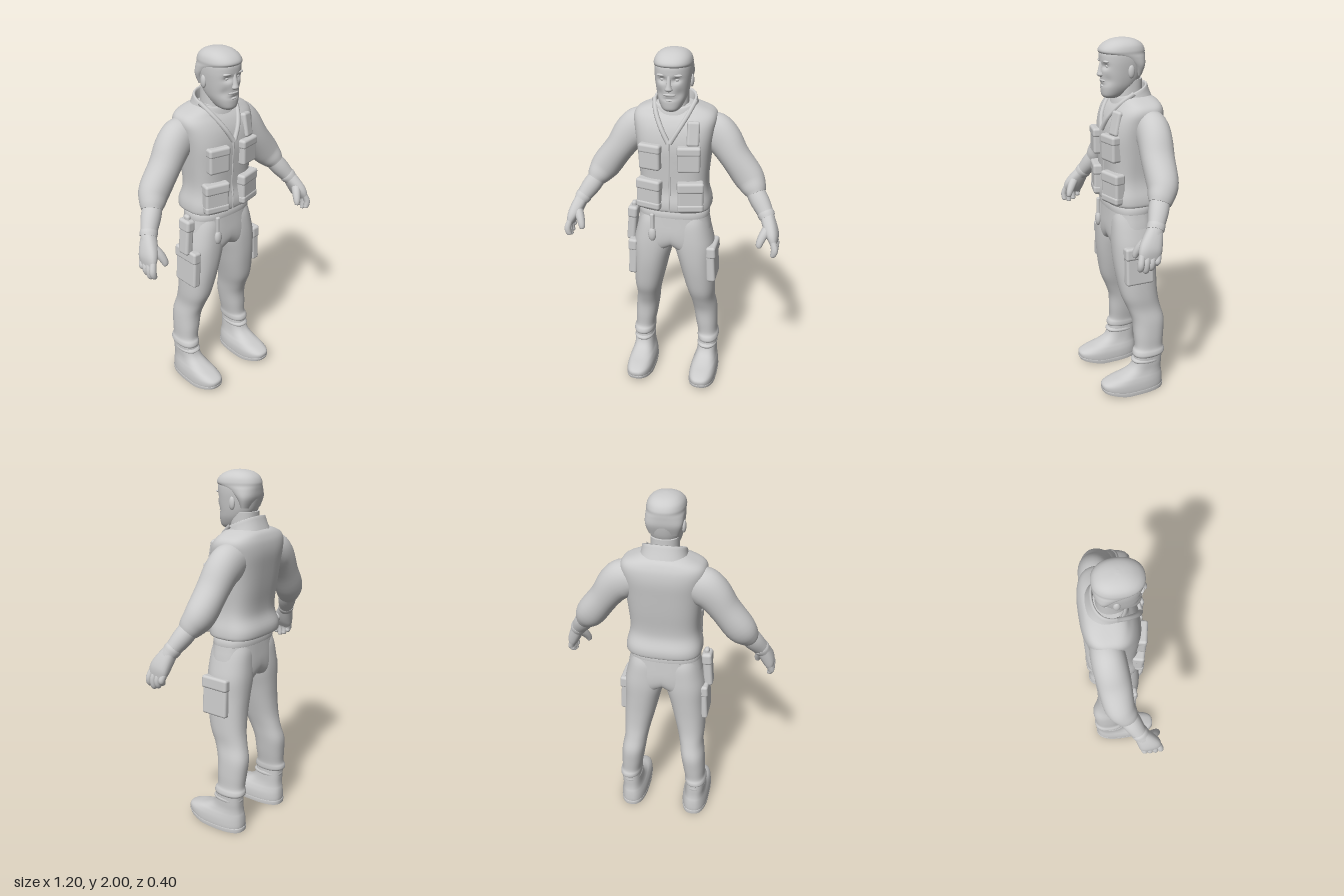
import * as THREE from 'three';
import { RoundedBoxGeometry } from 'three/addons/geometries/RoundedBoxGeometry.js';

const grey = new THREE.MeshStandardMaterial({ color: 0xcccccc });
grey.name = 'plain grey';

// Smooth interpolation through rows of numbers
function refine(rows, sub) {
  const out = [];
  for (let i = 0; i < rows.length - 1; i++) {
    const [a, b, c, d] = [rows[Math.max(i - 1, 0)], rows[i], rows[i + 1], rows[Math.min(i + 2, rows.length - 1)]];
    for (let s = 0; s < sub; s++) {
      const t = s / sub;
      out.push(b.map((p, k) => 0.5 * (2 * p + (c[k] - a[k]) * t + (2 * a[k] - 5 * p + 4 * c[k] - d[k]) * t * t
        + (3 * p - a[k] - 3 * c[k] + d[k]) * t * t * t)));
    }
  }
  out.push(rows[rows.length - 1]);
  return out;
}

// Skin over closed rings of points, with optional flat end caps
function skin(rings, caps = true) {
  const n = rings[0].length, pos = [], idx = [];
  rings.forEach(r => r.forEach(p => pos.push(p.x, p.y, p.z)));
  for (let i = 0; i < rings.length - 1; i++) for (let j = 0; j < n; j++) {
    const a = i * n + j, b = i * n + (j + 1) % n, c = a + n, d = b + n;
    idx.push(a, c, b, b, c, d);
  }
  if (caps) [rings[0], rings[rings.length - 1]].forEach((r, end) => {
    const base = pos.length / 3;
    const mid = r.reduce((m, p) => m.add(p), new THREE.Vector3()).divideScalar(n);
    [mid, ...r].forEach(p => pos.push(p.x, p.y, p.z));
    for (let j = 0; j < n; j++) {
      const a = base + 1 + j, b = base + 1 + (j + 1) % n;
      end ? idx.push(base, b, a) : idx.push(base, a, b);
    }
  });
  const g = new THREE.BufferGeometry();
  g.setAttribute('position', new THREE.Float32BufferAttribute(pos, 3));
  g.setIndex(idx);
  g.computeVertexNormals();
  return g;
}

const spow = (v, e) => Math.sign(v) * Math.pow(Math.abs(v), 2 / e);
function ring(c, U, V, ru, rv, e, n) {
  return Array.from({ length: n }, (_, j) => {
    const t = j / n * Math.PI * 2;
    return c.clone().addScaledVector(U, ru * spow(Math.cos(t), e)).addScaledVector(V, rv * spow(Math.sin(t), e));
  });
}

// Upright form: rows are [y, centreX, halfWidth, frontZ, backZ]; rule moves each point
function column(rows, { e = 2.3, n = 40, sub = 4, caps = true, rule } = {}) {
  const X = new THREE.Vector3(1, 0, 0), Z = new THREE.Vector3(0, 0, 1);
  const rings = refine(rows, sub).map(([y, x, w, f, b]) =>
    ring(new THREE.Vector3(x, y, (f + b) / 2), X, Z, w, (f - b) / 2, e, n));
  if (rule) rings.forEach(r => r.forEach(rule));
  return skin(rings, caps);
}

// Limb along a path: rows are [x, y, z, thickness, depth]
function limb(rows, { e = 2.1, n = 24, sub = 4 } = {}) {
  const r = refine(rows, sub), at = i => new THREE.Vector3(...r[Math.min(Math.max(i, 0), r.length - 1)].slice(0, 3));
  return skin(r.map((row, i) => {
    const T = at(i + 1).sub(at(i - 1)).normalize();
    const U = T.clone().cross(new THREE.Vector3(0, 0, 1)).normalize();
    return ring(at(i), U, U.clone().cross(T), row[3], row[4], e, n);
  }));
}

function mirrored(g) {
  const m = g.clone().scale(-1, 1, 1), ix = m.index.array;
  for (let i = 0; i < ix.length; i += 3) [ix[i], ix[i + 1]] = [ix[i + 1], ix[i]];
  return m;
}

export function createModel() {
  const model = new THREE.Group();
  const add = (name, g) => {
    const m = new THREE.Mesh(g, grey);
    m.name = name;
    model.add(m);
    return m;
  };
  const pair = (name, g) => { add(name + 'Left', g); add(name + 'Right', mirrored(g)); };
  const box = (name, w, h, d, x, y, z, ry = 0, rx = 0, rz = 0, r = 0.014) => {
    const m = add(name, new RoundedBoxGeometry(w, h, d, 3, r));
    m.position.set(x, y, z);
    m.rotation.set(rx, ry, rz);
  };
  const ball = (x, y, z, a, b, c) => new THREE.SphereGeometry(1, 20, 14).scale(a, b, c).translate(x, y, z);
  const cord = (pts, r) => new THREE.TubeGeometry(
    new THREE.CatmullRomCurve3(pts.map(p => new THREE.Vector3(...p))), 32, r, 8);

  // Head with eye hollows, and close-cut hair
  add('head', column([[1.695, 0, 0.03, 0.09, 0.02], [1.71, 0, 0.05, 0.105, -0.02], [1.75, 0, 0.071, 0.11, -0.07],
    [1.79, 0, 0.082, 0.111, -0.1], [1.84, 0, 0.09, 0.113, -0.116], [1.89, 0, 0.095, 0.114, -0.123],
    [1.93, 0, 0.093, 0.11, -0.12], [1.96, 0, 0.08, 0.08, -0.1]], {
    n: 64, sub: 6, rule: p => {
      if (p.z < 0.03) return;
      const dip = (x, y, sx, sy) => Math.exp(-(((Math.abs(p.x) - x) / sx) ** 2) - ((p.y - y) / sy) ** 2);
      p.z -= 0.016 * dip(0.036, 1.862, 0.022, 0.014) + 0.008 * dip(0.05, 1.79, 0.02, 0.025) + 0.006 * dip(0, 1.765, 0.03, 0.008);
    }
  }));
  add('hair', column([[1.81, 0, 0.075, -0.05, -0.1], [1.86, 0, 0.093, -0.025, -0.1205], [1.9, 0, 0.0965, 0.04, -0.125],
    [1.922, 0, 0.097, 0.108, -0.126], [1.94, 0, 0.097, 0.12, -0.125], [1.965, 0, 0.088, 0.102, -0.112],
    [1.985, 0, 0.067, 0.07, -0.085], [1.996, 0, 0.038, 0.035, -0.048], [2, 0, 0.008, 0.002, -0.01]]));
  add('nose', column([[1.805, 0, 0.01, 0.118, 0.09], [1.815, 0, 0.02, 0.132, 0.09], [1.835, 0, 0.014, 0.128, 0.09],
    [1.885, 0, 0.009, 0.115, 0.09]], { n: 16 }));
  add('moustache', ball(0, 1.787, 0.101, 0.034, 0.009, 0.014));
  add('lowerLip', ball(0, 1.758, 0.1, 0.022, 0.007, 0.012));
  pair('brow', ball(0.036, 1.886, 0.097, 0.03, 0.008, 0.015));
  pair('eye', ball(0.036, 1.862, 0.086, 0.014, 0.009, 0.012));
  pair('ear', ball(0.091, 1.835, -0.022, 0.012, 0.034, 0.018));
  add('neck', column([[1.6, 0, 0.08, 0.05, -0.12], [1.68, 0, 0.074, 0.037, -0.113], [1.79, 0, 0.072, 0.03, -0.113]]));

  // Vest body, standing collar and zip
  add('vest', column([[1.128, 0, 0.193, 0.09, -0.172], [1.138, 0, 0.206, 0.106, -0.186], [1.18, 0, 0.204, 0.108, -0.186],
    [1.24, 0, 0.19, 0.098, -0.165], [1.3, 0, 0.186, 0.098, -0.164], [1.4, 0, 0.194, 0.103, -0.178],
    [1.5, 0, 0.205, 0.106, -0.19], [1.58, 0, 0.217, 0.092, -0.198], [1.635, 0, 0.223, 0.068, -0.194],
    [1.67, 0, 0.204, 0.042, -0.182], [1.695, 0, 0.15, 0.025, -0.164], [1.712, 0, 0.1, 0.0, -0.13]], { e: 2.9, n: 56 }));
  add('collar', column([[1.655, 0, 0.134, 0.06, -0.16], [1.7, 0, 0.12, 0.05, -0.144], [1.732, 0, 0.114, 0.04, -0.134],
    [1.736, 0, 0.108, 0.033, -0.128], [1.73, 0, 0.1, 0.025, -0.122], [1.66, 0, 0.096, 0.02, -0.12]],
    { sub: 2, caps: false, rule: p => { p.y -= (p.z + 0.05) * 0.44; } }));
  pair('lapel', cord([[0.11, 1.725, -0.03], [0.085, 1.67, 0.04], [0.045, 1.6, 0.09], [0.004, 1.53, 0.11]], 0.013));
  add('zip', cord([[0, 1.53, 0.106], [0, 1.4, 0.102], [0, 1.28, 0.097], [0, 1.19, 0.108], [0, 1.135, 0.104]], 0.005));

  // Vest and trouser pockets
  for (const s of [1, -1]) {
    box('chestPocket', 0.12, 0.13, 0.06, s * 0.103, 1.443, 0.096, s * 0.2);
    box('chestPocketFlap', 0.126, 0.05, 0.062, s * 0.103, 1.495, 0.098, s * 0.2);
    box('lowerPocket', 0.138, 0.16, 0.06, s * 0.112, 1.225, 0.09, s * 0.25);
    box('lowerPocketFlap', 0.144, 0.06, 0.064, s * 0.112, 1.288, 0.092, s * 0.25);
    box('lowerPocketFold', 0.142, 0.045, 0.064, s * 0.112, 1.172, 0.092, s * 0.25);
    box('cargoPocket', 0.05, 0.2, 0.162, s * 0.224, 0.797, -0.014, 0, 0, s * 0.06);
    box('cargoPocketFlap', 0.053, 0.07, 0.17, s * 0.225, 0.882, -0.014, 0, 0, s * 0.06);
  }
  box('chestRadio', 0.066, 0.13, 0.04, 0.12, 1.58, 0.074, 0.3, -0.2);

  // Arms: sleeve, forearm and wrist band
  pair('sleeve', limb([[0.14, 1.565, -0.088, 0.085, 0.078], [0.205, 1.548, -0.086, 0.104, 0.086], [0.26, 1.506, -0.08, 0.096, 0.088],
    [0.32, 1.423, -0.07, 0.082, 0.086], [0.398, 1.318, -0.06, 0.083, 0.08], [0.435, 1.265, -0.035, 0.068, 0.068],
    [0.452, 1.237, -0.02, 0.053, 0.057]], { n: 32 }));
  pair('forearm', limb([[0.42, 1.28, -0.04, 0.045, 0.05], [0.47, 1.21, -0.005, 0.052, 0.052], [0.515, 1.145, 0.03, 0.042, 0.042],
    [0.535, 1.11, 0.05, 0.036, 0.042]]));
  pair('wristBand', limb([[0.508, 1.156, 0.023, 0.043, 0.044], [0.515, 1.145, 0.03, 0.046, 0.046],
    [0.524, 1.131, 0.038, 0.043, 0.045]]));

  // Hands
  pair('palm', limb([[0.52, 1.14, 0.035, 0.036, 0.038], [0.543, 1.09, 0.06, 0.037, 0.052], [0.562, 1.045, 0.08, 0.032, 0.06],
    [0.574, 1.005, 0.09, 0.018, 0.055]], { e: 2.5 }));
  for (let k = 0; k < 4; k++) {
    const z = 0.042 + k * 0.029, tip = [0.965, 0.945, 0.935, 0.947][k];
    pair('finger' + (k + 1), limb([[0.564, 1.04, z - 0.005, 0.016, 0.016], [0.58, 0.995, z + 0.008, 0.0185, 0.0175],
      [0.578, tip + 0.02, z + 0.01, 0.0175, 0.0165], [0.569, tip + 0.004, z + 0.01, 0.012, 0.012],
      [0.567, tip, z + 0.01, 0.003, 0.003]], { n: 12 }));
  }
  pair('thumb', limb([[0.545, 1.1, 0.07, 0.03, 0.028], [0.517, 1.06, 0.105, 0.025, 0.025], [0.5, 1.02, 0.128, 0.02, 0.019],
    [0.496, 0.995, 0.135, 0.014, 0.013], [0.495, 0.99, 0.136, 0.003, 0.003]], { n: 14 }));

  // Trousers: seat arched and tucked under at the crotch, legs and belt
  add('seat', column([[0.895, 0, 0.19, 0.03, -0.09], [0.91, 0, 0.215, 0.072, -0.13], [0.94, 0, 0.223, 0.091, -0.149],
    [0.985, 0, 0.216, 0.096, -0.154], [1.05, 0, 0.2, 0.091, -0.15], [1.15, 0, 0.184, 0.083, -0.143]], {
    e: 2.6, n: 56, caps: false, rule: p => { p.y -= Math.min(Math.max((1.03 - p.y) / 0.13, 0), 1) * Math.abs(p.x) * 0.6; }
  }));
  add('belt', column([[1.084, 0, 0.19, 0.084, -0.145], [1.088, 0, 0.198, 0.091, -0.15], [1.12, 0, 0.193, 0.088, -0.148],
    [1.124, 0, 0.185, 0.08, -0.14]], { e: 2.6, sub: 1 }));
  pair('trouserLeg', column([[0.222, 0.2, 0.056, 0.0, -0.168], [0.235, 0.2, 0.063, 0.006, -0.184], [0.255, 0.198, 0.062, 0.002, -0.184],
    [0.28, 0.194, 0.058, -0.01, -0.176], [0.35, 0.187, 0.064, -0.006, -0.182], [0.44, 0.177, 0.068, 0.0, -0.187],
    [0.52, 0.165, 0.068, 0.027, -0.167], [0.6, 0.157, 0.079, 0.06, -0.152], [0.7, 0.144, 0.091, 0.08, -0.148],
    [0.8, 0.13, 0.101, 0.093, -0.151], [0.9, 0.116, 0.114, 0.097, -0.155], [0.98, 0.107, 0.107, 0.094, -0.152],
    [1.05, 0.099, 0.097, 0.086, -0.146], [1.1, 0.092, 0.09, 0.07, -0.13]], { e: 2.3 }));

  // Boots with raised toe, thin sole and a strap
  const toe = p => { if (p.z > 0.07) p.y += (p.z - 0.07) * 0.25 * Math.max(0, 1 - p.y / 0.11); };
  pair('boot', column([[0.01, 0.193, 0.076, 0.188, -0.172], [0.035, 0.193, 0.079, 0.198, -0.176], [0.07, 0.193, 0.077, 0.194, -0.175],
    [0.098, 0.194, 0.07, 0.15, -0.172], [0.118, 0.195, 0.063, 0.085, -0.168], [0.145, 0.196, 0.058, 0.03, -0.166],
    [0.185, 0.198, 0.057, 0.003, -0.167], [0.25, 0.2, 0.057, -0.005, -0.168]], { e: 2.6, rule: toe }));
  pair('sole', column([[0, 0.193, 0.078, 0.193, -0.177], [0.022, 0.193, 0.081, 0.2, -0.18], [0.026, 0.193, 0.077, 0.196, -0.176]],
    { e: 2.6, sub: 1, rule: toe }));
  pair('bootStrap', column([[0.182, 0.198, 0.055, 0.004, -0.165], [0.196, 0.198, 0.06, 0.014, -0.169],
    [0.21, 0.198, 0.055, 0.004, -0.166]]));

  // Holster and hanging clip on the right hip
  box('holster', 0.05, 0.2, 0.075, -0.238, 0.995, -0.01, 0, 0, -0.08, 0.016);
  box('holsterFlap', 0.056, 0.07, 0.085, -0.232, 1.07, -0.01, 0, 0, -0.08, 0.016);
  box('holsterGrip', 0.028, 0.06, 0.04, -0.228, 1.1, -0.01);
  box('clipStrap', 0.024, 0.1, 0.02, -0.1, 1.06, 0.095, -0.2, 0, 0, 0.008);
  add('clipWeight', ball(-0.1, 0.985, 0.097, 0.023, 0.042, 0.017));

  return model;
}
